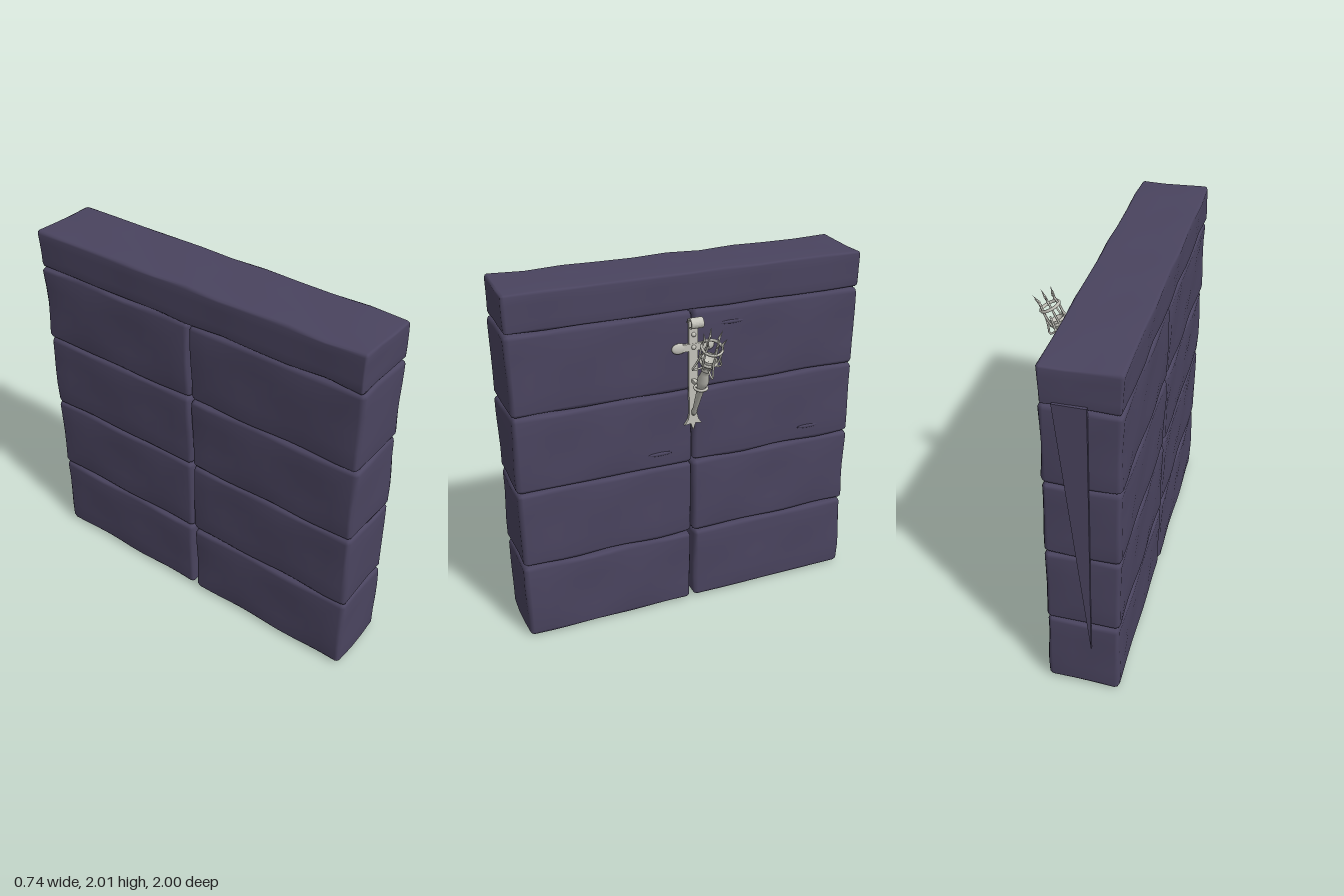
import * as THREE from 'three';
import { mergeVertices } from 'three/addons/utils/BufferGeometryUtils.js';

const stone = new THREE.MeshStandardMaterial({ color: 0x4a445f });
stone.name = 'purple stone';
const iron = new THREE.MeshStandardMaterial({ color: 0xc4c3bb });
iron.name = 'pale iron';

function add(parent, name, geometry, material) {
  const mesh = new THREE.Mesh(geometry, material);
  mesh.name = name;
  parent.add(mesh);
  return mesh;
}

// Worn stone block: grid box with softened edges and a gentle wobble
function block(min, max, r, seed) {
  const segs = [5, 6, 12];
  let geo = new THREE.BoxGeometry(1, 1, 1, ...segs);
  geo.deleteAttribute('uv');
  geo.deleteAttribute('normal');
  geo = mergeVertices(geo);
  const pos = geo.attributes.position;
  for (let i = 0; i < pos.count; i++) {
    const inner = [], d = [], world = [];
    for (let a = 0; a < 3; a++) {
      const n = segs[a], k = Math.round((pos.getComponent(i, a) + 0.5) * n);
      const lo = min[a] + r, hi = max[a] - r;
      const t = THREE.MathUtils.clamp((k - 1) / (n - 2), 0, 1);
      inner[a] = lo + (hi - lo) * t;
      d[a] = k === 0 ? -1 : k === n ? 1 : 0;
    }
    const len = Math.hypot(...d) || 1;
    for (let a = 0; a < 3; a++) {
      const b = (a + 1) % 3, c = (a + 2) % 3;
      const wobble = 0.005 * (Math.sin(inner[b] * 13 + seed * 2.1 + a) * Math.sin(inner[c] * 11 + seed) - 0.6);
      world[a] = inner[a] + d[a] * (r / len + wobble);
    }
    pos.setXYZ(i, ...world);
  }
  geo.computeVertexNormals();
  return geo;
}

function tube(points, radius, segments = 16) {
  const curve = new THREE.CatmullRomCurve3(points.map((p) => new THREE.Vector3(...p)));
  return new THREE.TubeGeometry(curve, segments, radius, 6);
}

function createWall() {
  const wall = new THREE.Group();
  wall.name = 'wall';
  const rows = [[0, 0.457], [0.457, 0.915], [0.91, 1.352], [1.347, 1.795]];
  rows.forEach(([y0, y1], i) => {
    const gap = i === 0 ? 0.007 : 0;
    add(wall, 'frontBlock', block([-0.367, y0, 0.007 + gap], [0.022, y1, 1], 0.028, i + 1), stone);
    add(wall, 'backBlock', block([-0.367, y0, -0.988], [0.022, y1, 0.007 - gap], 0.028, i + 6), stone);
  });
  add(wall, 'capStone', block([-0.367, 1.793, -0.988], [0.02, 2.003, 0.995], 0.018, 12), stone);

  // Shallow chips on the torch face
  for (const [y, z] of [[1.705, -0.22], [1.0, 0.2], [1.0, -0.72]]) {
    const chip = add(wall, 'chip', new THREE.SphereGeometry(1, 12, 8), stone);
    chip.scale.set(0.008, 0.011, 0.075);
    chip.position.set(0.016, y, z);
  }

  // Tapered sliver running down the rear end
  const sliver = new THREE.Shape([[0.05, 1.82], [0.21, 1.82], [0.22, 0.3]].map((p) => new THREE.Vector2(...p)));
  const geo = new THREE.ExtrudeGeometry(sliver, { depth: 0.016, bevelEnabled: false });
  geo.rotateY(Math.PI);
  geo.translate(0, 0, -0.984);
  add(wall, 'rearSliver', geo, stone);
  return wall;
}

function createBracket() {
  const bracket = new THREE.Group();
  bracket.name = 'wallBracket';
  bracket.position.z = 0.01;

  // Back plate with a pointed foot, mirrored about its centre line
  const half = [[0, 1.12], [0.014, 1.16], [0.05, 1.155], [0.03, 1.185], [0.022, 1.22], [0.026, 1.4], [0.026, 1.75]];
  const outline = [...half, ...half.slice(1).reverse().map(([x, y]) => [-x, y])];
  const plate = new THREE.ExtrudeGeometry(
    new THREE.Shape(outline.map((p) => new THREE.Vector2(...p))), { depth: 0.015, bevelEnabled: false });
  plate.rotateY(Math.PI / 2);
  plate.translate(0.02, 0, 0);
  add(bracket, 'backPlate', plate, iron);

  // Cross arms with rounded lobes
  add(bracket, 'crossBar', new THREE.BoxGeometry(0.016, 0.04, 0.17).translate(0.029, 1.6, 0), iron);
  for (const s of [-1, 1]) {
    const lobe = add(bracket, 'crossLobe', new THREE.SphereGeometry(1, 14, 10), iron);
    lobe.scale.set(0.012, 0.03, 0.042);
    lobe.position.set(0.029, 1.6, s * 0.08);
  }
  for (const y of [1.22, 1.6, 1.67]) {
    add(bracket, 'rivet', new THREE.SphereGeometry(0.013, 10, 8).translate(0.036, y, 0), iron);
  }

  // Flat iron strip rolled forward into a scroll
  const outer = [], innerEdge = [];
  outer.push([0.022, 1.74]);
  innerEdge.push([0.032, 1.74]);
  for (let i = 0; i <= 18; i++) {
    const a = Math.PI * (0.95 - i * 0.085);
    const r = 0.033 - i * 0.0004;
    outer.push([0.068 + Math.cos(a) * r, 1.742 + Math.sin(a) * r]);
    innerEdge.push([0.068 + Math.cos(a) * (r - 0.009), 1.742 + Math.sin(a) * (r - 0.009)]);
  }
  const scroll = new THREE.Shape([...outer, ...innerEdge.reverse()].map((p) => new THREE.Vector2(...p)));
  add(bracket, 'scroll', new THREE.ExtrudeGeometry(scroll, { depth: 0.07, bevelEnabled: false })
    .translate(0, 0, -0.035), iron);

  // Arm and hoop that hold the handle
  add(bracket, 'holderArm', new THREE.BoxGeometry(0.075, 0.018, 0.022).translate(0.066, 1.412, 0), iron);
  const hoop = add(bracket, 'holderHoop', new THREE.TorusGeometry(0.033, 0.008, 6, 24), iron);
  hoop.rotation.x = Math.PI / 2;
  hoop.rotation.y = -0.1;
  hoop.position.set(0.133, 1.408, 0);
  return bracket;
}

function createTorch() {
  const torch = new THREE.Group();
  torch.name = 'torch';
  torch.position.set(0.045, 1.23, 0.01);
  torch.rotation.z = -0.468;

  // Turned handle ending in a small bowl
  const profile = [[0, -0.012], [0.012, -0.008], [0.016, 0.01], [0.013, 0.02], [0.019, 0.17], [0.025, 0.19],
    [0.02, 0.2], [0.03, 0.235], [0.032, 0.265], [0.022, 0.31], [0.019, 0.335], [0.029, 0.345], [0.029, 0.36],
    [0.024, 0.367], [0.04, 0.4], [0.042, 0.43], [0.034, 0.43], [0.02, 0.41], [0, 0.405]];
  add(torch, 'handle', new THREE.LatheGeometry(profile.map((p) => new THREE.Vector2(...p)), 16), iron);

  // Basket hoops
  for (const [s, r] of [[0.41, 0.044], [0.505, 0.054]]) {
    const ring = add(torch, 'basketHoop', new THREE.CylinderGeometry(r, r, 0.016, 24, 1, true), iron);
    ring.geometry.translate(0, s, 0);
    const rim = add(torch, 'basketRim', new THREE.TorusGeometry(r, 0.007, 6, 24), iron);
    rim.geometry.rotateX(Math.PI / 2).scale(1, 1.3, 1).translate(0, s, 0);
  }

  // Upright prongs with flared tips
  for (let i = 0; i < 6; i++) {
    const prong = new THREE.Group();
    prong.name = 'prong';
    prong.rotation.y = (i * Math.PI) / 3;
    add(prong, 'prongBar', tube([[0.024, 0.365, 0], [0.046, 0.41, 0], [0.053, 0.48, 0], [0.047, 0.545, 0]], 0.006), iron);
    const tip = add(prong, 'prongTip', new THREE.ConeGeometry(0.008, 0.055, 6), iron);
    tip.position.set(0.053, 0.565, 0);
    tip.rotation.z = -0.3;
    torch.add(prong);
  }

  // Angled braces around the bowl
  for (let i = 0; i < 4; i++) {
    const brace = new THREE.Group();
    brace.name = 'brace';
    brace.rotation.y = (i * Math.PI) / 2;
    add(brace, 'braceBar', tube([[0.05, 0.47, 0], [0.066, 0.405, 0], [0.08, 0.357, 0], [0.055, 0.358, 0],
      [0.024, 0.365, 0]], 0.0055), iron);
    torch.add(brace);
  }
  return torch;
}

export function createModel() {
  iron.side = THREE.DoubleSide;
  const model = new THREE.Group();
  model.name = 'wallWithTorch';
  model.add(createWall(), createBracket(), createTorch());
  return model;
}
